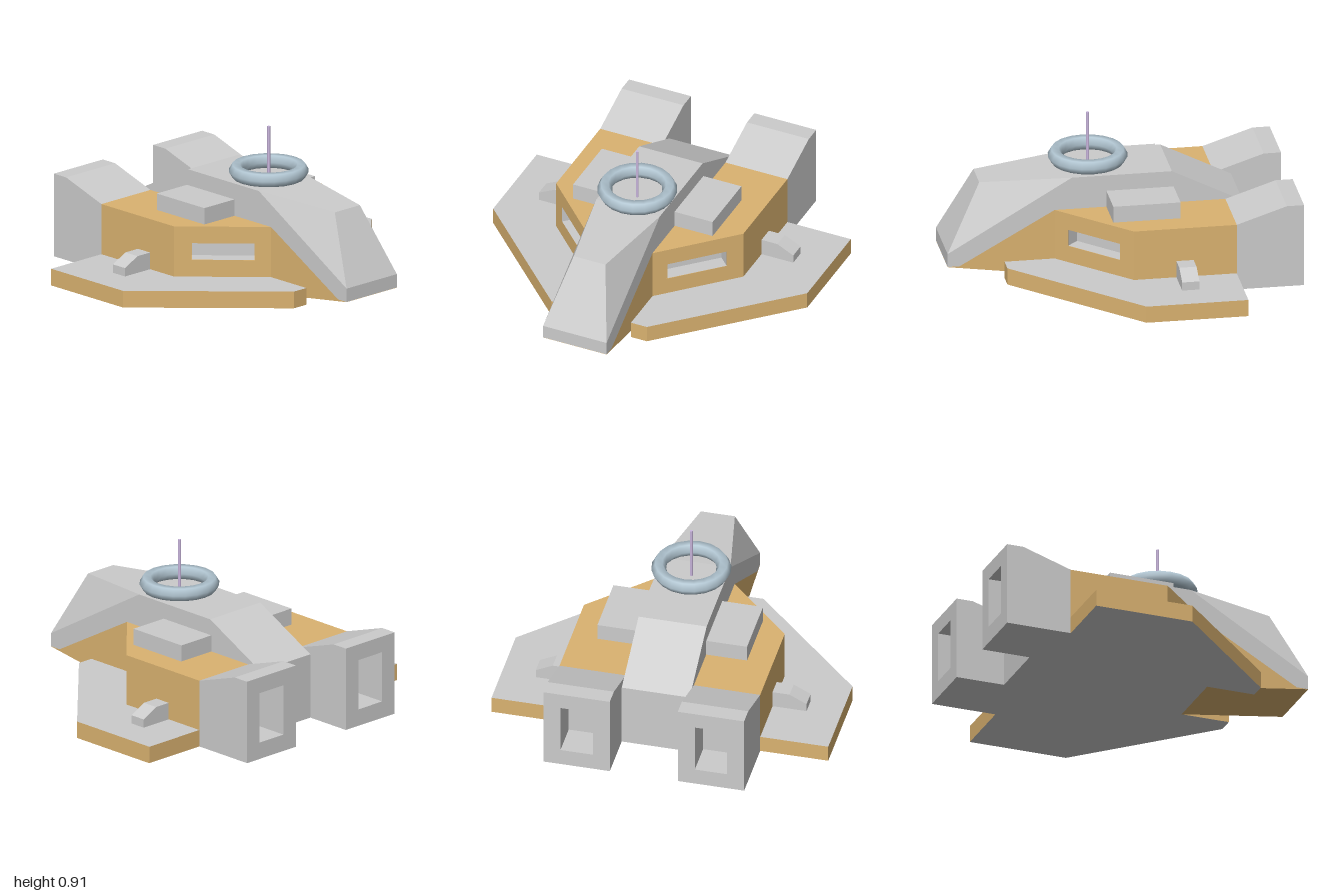
import * as THREE from 'three';
import { ConvexGeometry } from 'three/addons/geometries/ConvexGeometry.js';

const mat = (color, extra = {}) => new THREE.MeshStandardMaterial({ color, ...extra });
const grey = mat(0xcccccc, { flatShading: true });
const lining = mat(0xcccccc, { flatShading: true, side: THREE.BackSide });
const tan = mat(0xdab270, { flatShading: true });
const steel = mat(0xb0c4d0);
const lilac = mat(0xccb8e0);

const shapeOf = (pts) => new THREE.Shape(pts.map(([a, b]) => new THREE.Vector2(a, b)));
const extrude = (pts, depth) => new THREE.ExtrudeGeometry(shapeOf(pts), { depth, bevelEnabled: false });

// Floor plan [x, z] raised from y0 to y1, mirrored by s
const planSlab = (plan, y0, y1, s) =>
  extrude(plan.map(([x, z]) => [s * x, -z]), y1 - y0).rotateX(-Math.PI / 2).translate(0, y0, 0);

// Side profile [z, y] stretched from x0 to x1
const sideSlab = (profile, x0, x1) => extrude(profile, x1 - x0).rotateY(-Math.PI / 2).translate(x1, 0, 0);

// Convex solid from [halfWidth, y, z] corners mirrored in x
const convex = (corners) => new ConvexGeometry(
  corners.flatMap(([x, y, z]) => [new THREE.Vector3(x, y, z), new THREE.Vector3(-x, y, z)]));

export function createModel() {
  const model = new THREE.Group();
  const add = (parent, name, geometry, material) => {
    const mesh = new THREE.Mesh(geometry, material);
    mesh.name = name;
    parent.add(mesh);
    return mesh;
  };

  // Central hull: rear block, tapered nose and tan chin
  const hull = new THREE.Group();
  hull.name = 'hull';
  model.add(hull);
  add(hull, 'hullRear', convex([
    [0.2, 0, -0.71], [0.2, 0.385, -0.71], [0.2, 0.593, -0.3],
    [0.2, 0.593, 0.28], [0.2, 0.4, 0.38], [0.2, 0, 0.38],
  ]), grey);
  add(hull, 'hullNose', convex([
    [0.2, 0.593, 0.28], [0.1, 0.56, 0.8], [0.2, 0.17, 1],
    [0.2, 0.09, 1], [0.2, 0.09, 0.93], [0.2, 0.4, 0.38],
  ]), grey);
  add(hull, 'hullChin', sideSlab([[0.38, 0], [1, 0.089], [0.93, 0.09], [0.38, 0.4]], -0.2, 0.2), tan);

  const wingPlan = [[0.2, -0.61], [0.99, -0.61], [0.99, -0.02], [0.3, 0.67], [0.2, 0.67]];
  const podPlan = [[0.2, -0.61], [0.59, -0.61], [0.59, -0.015], [0.2, 0.38]];
  const podNotched = [
    [0.2, -0.61], [0.59, -0.61], [0.59, -0.015], [0.52, 0.056],
    [0.456, -0.008], [0.201, 0.25], [0.265, 0.314], [0.2, 0.38],
  ];
  const nozzle = [[-0.61, 0], [-0.61, 0.4], [-0.9, 0.495], [-1, 0.495], [-1, 0]];
  const nozzleNotched = [
    [-0.61, 0], [-0.61, 0.4], [-0.9, 0.495], [-1, 0.495], [-1, 0.4],
    [-0.8, 0.4], [-0.8, 0.1], [-1, 0.1], [-1, 0],
  ];

  for (const s of [1, -1]) {
    const side = new THREE.Group();
    side.name = s > 0 ? 'leftSide' : 'rightSide';
    model.add(side);

    // Wing plate with tan rim
    add(side, 'wing', planSlab(wingPlan, 0, 0.1, s), [grey, tan]);

    // Cabin pod in three layers, the middle one cut for the window
    add(side, 'podBase', planSlab(podPlan, 0.1, 0.2, s), tan);
    add(side, 'podWindowBand', planSlab(podNotched, 0.2, 0.3, s), tan);
    add(side, 'podRoof', planSlab(podPlan, 0.3, 0.4, s), tan);
    const recess = add(side, 'windowRecess', new THREE.BoxGeometry(0.357, 0.096, 0.086), lining);
    recess.position.set(s * 0.362, 0.25, 0.155);
    recess.rotation.y = s * Math.PI / 4;

    // Roof panel
    add(side, 'roofPanel', new THREE.BoxGeometry(0.24, 0.1, 0.39), grey)
      .position.set(s * 0.32, 0.448, -0.115);

    // Rear nozzle: two cheeks and a hollowed middle
    for (const [x0, x1, profile] of [[0.2, 0.3, nozzle], [0.3, 0.49, nozzleNotched], [0.49, 0.59, nozzle]]) {
      add(side, 'nozzle', sideSlab(profile, Math.min(s * x0, s * x1), Math.max(s * x0, s * x1)), grey);
    }

    // Small sloped step on the wing, staggered between the sides
    const step = [[0.59, 0.1], [0.79, 0.1], [0.79, 0.15], [0.69, 0.2], [0.59, 0.2]];
    add(side, 'wingStep', extrude(step.map(([x, y]) => [s * x, y]), 0.1), grey)
      .position.z = s > 0 ? -0.36 : -0.31;
  }

  // Ring and antenna above the hull
  const ring = add(model, 'ring', new THREE.TorusGeometry(0.187, 0.043, 6, 20), steel);
  ring.rotation.x = Math.PI / 2;
  ring.position.set(0, 0.646, 0.155);
  add(model, 'antenna', new THREE.CylinderGeometry(0.009, 0.009, 0.33, 8), lilac)
    .position.set(0, 0.745, 0.155);

  return model;
}
